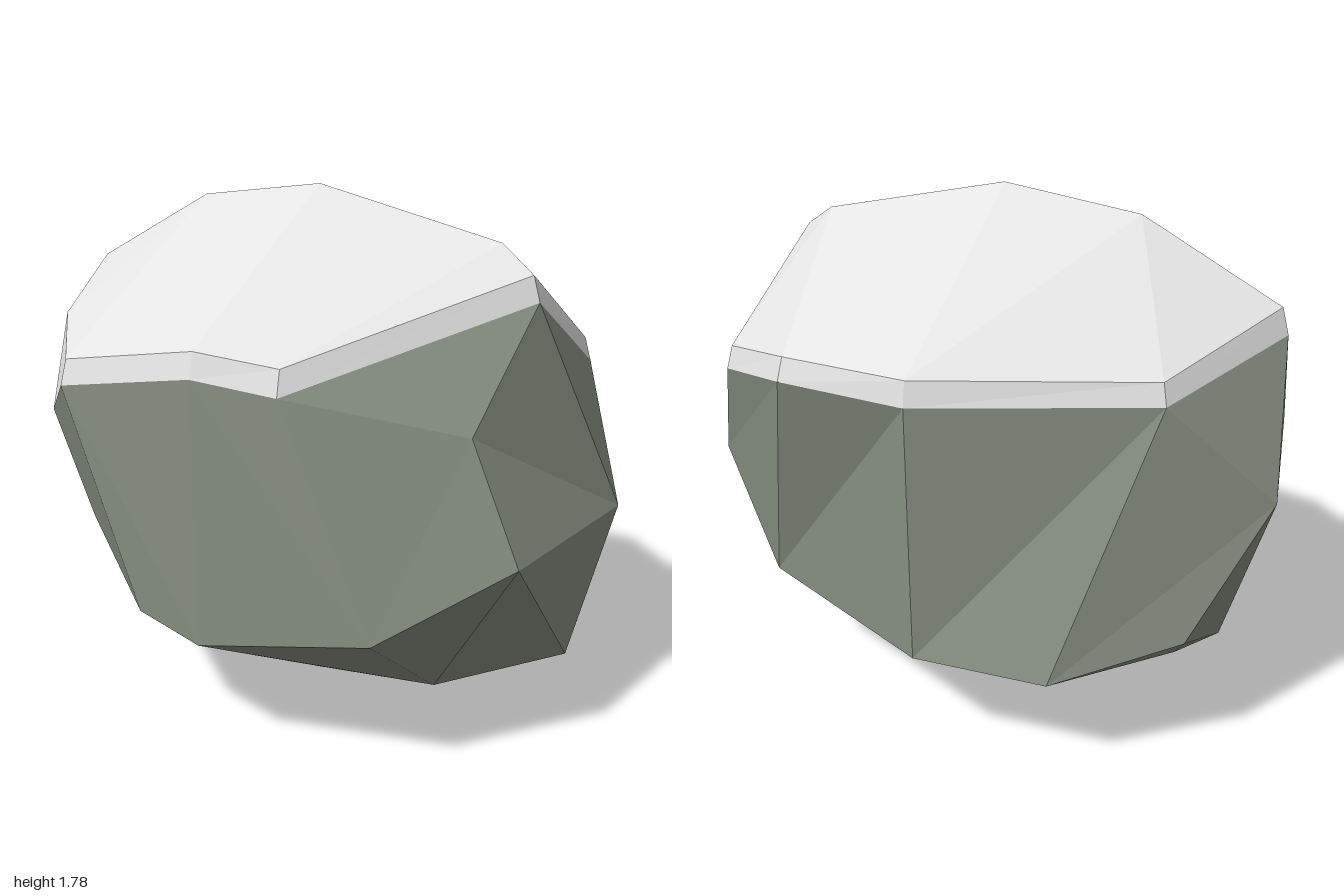
import * as THREE from 'three';

// Six-sided rings running from the middle of the boulder to its +x end
const RINGS = {
  T: [0, 1.715, 0], FU: [0, 1.29, 0.74], FL: [0, 0.43, 0.74],
  Bt: [0, 0.005, 0], BL: [0, 0.43, -0.74], BU: [0, 1.29, -0.74],
  T1: [0.66, 1.565, 0], G: [0.27, 1.26, 0.69], E: [0.57, 0.545, 0.67],
  L: [0.47, 0.065, 0], P: [0.69, 0.43, -0.44], Q: [0.44, 1.29, -0.71],
  H: [0.8, 1.48, 0.055], I: [0.735, 1.13, 0.37], F: [0.9, 0.75, 0.37],
  K: [0.94, 0.325, 0.01], J: [1, 0.77, -0.25], N: [0.8, 1.19, -0.47],
};
const MIDDLE = ['T', 'FU', 'FL', 'Bt', 'BL', 'BU'];
const SHOULDER = ['T1', 'G', 'E', 'L', 'P', 'Q'];
const END = ['H', 'I', 'F', 'K', 'J', 'N'];

// Half turn about the z axis gives the other end of the boulder
const turn = ([x, y, z]) => [-x, 1.72 - y, z];

function meshFrom(name, triangles, material) {
  const geometry = new THREE.BufferGeometry();
  geometry.setAttribute('position', new THREE.Float32BufferAttribute(triangles.flat(2), 3));
  geometry.computeVertexNormals();
  const mesh = new THREE.Mesh(geometry, material);
  mesh.name = name;
  return mesh;
}

// Band of triangles between two rings; forward[i] picks the diagonal
function band(a, b, forward) {
  const out = [];
  for (let i = 0; i < 6; i++) {
    const j = (i + 1) % 6;
    if (forward[i]) out.push([a[i], a[j], b[j]], [a[i], b[j], b[i]]);
    else out.push([a[i], a[j], b[i]], [a[j], b[j], b[i]]);
  }
  return out;
}

function rockTriangles() {
  const half = [
    ...band(MIDDLE, SHOULDER, [1, 1, 1, 0, 0, 0]),
    ...band(SHOULDER, END, [0, 0, 0, 0, 0, 0]),
    ['H', 'I', 'J'], ['I', 'F', 'J'], ['F', 'K', 'J'], ['H', 'J', 'N'],
  ].map((t) => t.map((n) => RINGS[n]));
  return [...half, ...half.map((t) => t.map(turn))];
}

// Upper snow surface; names ending in 2 belong to the turned half
const SNOW = {
  T: [0, 1.785, 0], T1: [0.65, 1.64, 0], L2: [-0.46, 1.725, 0],
  FU: [0, 1.37, 0.72], G: [0.265, 1.34, 0.665], H: [0.775, 1.56, 0.05],
  N: [0.78, 1.27, -0.46], Q: [0.43, 1.365, -0.69], BU: [0, 1.37, -0.725],
  P2: [-0.675, 1.36, -0.425], K2: [-0.915, 1.48, 0.015],
  F2: [-0.82, 1.33, 0.35], M: [-0.56, 1.26, 0.65],
};
const RIM = ['FU', 'G', 'H', 'N', 'Q', 'BU', 'P2', 'K2', 'F2', 'M'];

function snowTriangles() {
  const top = [
    'T FU G', 'T G T1', 'T1 G H', 'BU T Q', 'T T1 Q', 'Q T1 N', 'T1 H N',
    'FU T L2', 'FU L2 M', 'T BU L2', 'BU P2 L2', 'M L2 F2', 'L2 K2 F2', 'L2 P2 K2',
  ].map((t) => t.split(' ').map((n) => SNOW[n]));
  const onRock = (n) => {
    if (n === 'M') return turn(RINGS.E);
    return n.endsWith('2') ? turn(RINGS[n[0]]) : RINGS[n];
  };
  // Thin edge of the snow, down to the rock
  RIM.forEach((n, i) => {
    const m = RIM[(i + 1) % RIM.length];
    top.push([onRock(n), onRock(m), SNOW[m]], [onRock(n), SNOW[m], SNOW[n]]);
  });
  return top;
}

export function createModel() {
  const stone = new THREE.MeshStandardMaterial({ color: 0x868e80 });
  stone.name = 'grey green stone';
  stone.flatShading = true;
  const snow = new THREE.MeshStandardMaterial({ color: 0xe4e4e4 });
  snow.name = 'snow white';
  snow.flatShading = true;

  const group = new THREE.Group();
  group.name = 'snowyBoulder';
  group.add(meshFrom('boulder', rockTriangles(), stone));
  group.add(meshFrom('snowCap', snowTriangles(), snow));
  return group;
}
